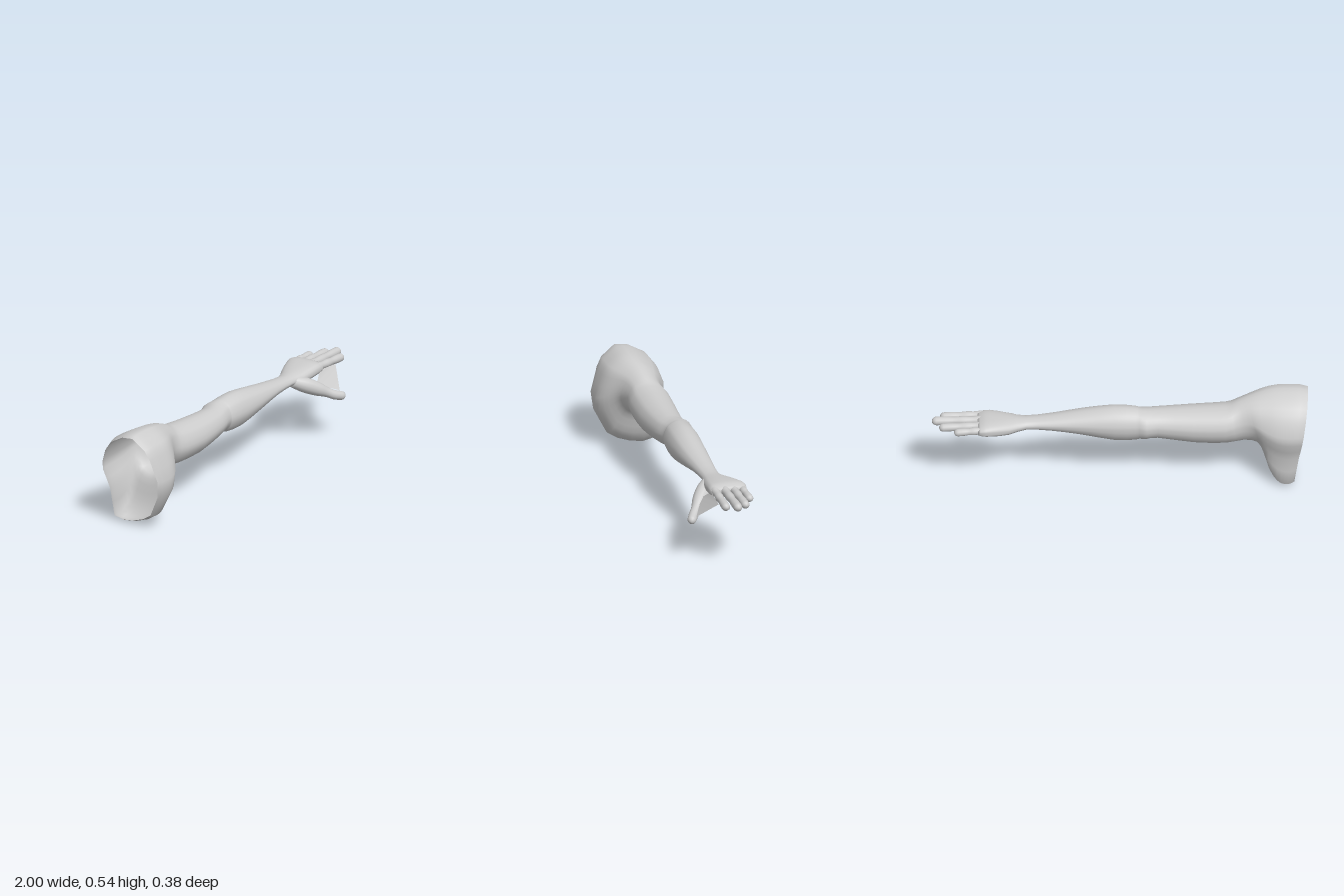
import * as THREE from 'three';

const skin = new THREE.MeshStandardMaterial({ color: 0xcccccc, side: THREE.DoubleSide });
skin.name = 'plain grey';

// Skin a list of equal-length rings; optionally close the ends with a centre point
function loft(name, rings, capStart, capEnd) {
  const n = rings[0].length, pos = [], idx = [];
  rings.forEach(r => r.forEach(p => pos.push(p.x, p.y, p.z)));
  for (let j = 0; j < rings.length - 1; j++) {
    for (let i = 0; i < n; i++) {
      const a = j * n + i, b = j * n + (i + 1) % n;
      idx.push(a, b, a + n, b, b + n, a + n);
    }
  }
  const cap = (j, flip) => {
    const c = new THREE.Vector3();
    rings[j].forEach(p => c.addScaledVector(p, 1 / n));
    const k = pos.length / 3;
    pos.push(c.x, c.y, c.z);
    for (let i = 0; i < n; i++) {
      const a = j * n + i, b = j * n + (i + 1) % n;
      if (flip) idx.push(b, a, k); else idx.push(a, b, k);
    }
  };
  if (capStart) cap(0, true);
  if (capEnd) cap(rings.length - 1, false);
  const g = new THREE.BufferGeometry();
  g.setAttribute('position', new THREE.Float32BufferAttribute(pos, 3));
  g.setIndex(idx);
  g.computeVertexNormals();
  const mesh = new THREE.Mesh(g, skin);
  mesh.name = name;
  return mesh;
}

// Outline of the open shoulder edge as [z, y], from the top round the front
const rim = [[0.04, 0.535], [0.12, 0.475], [0.15, 0.42], [0.19, 0.29], [0.18, 0.2], [0.115, 0.07],
  [0.06, 0.035], [-0.01, 0.01], [-0.08, 0], [-0.142, 0.013], [-0.153, 0.18], [-0.19, 0.29],
  [-0.19, 0.34], [-0.16, 0.42], [-0.115, 0.48], [-0.03, 0.527]];

// Rim scaled to a unit outline, with extra points along each edge
const outline = rim.flatMap(([z, y], i) => {
  const [z2, y2] = rim[(i + 1) % rim.length];
  return [[z, y], [(z + z2) / 2, (y + y2) / 2]];
}).map(([z, y]) => [z / 0.19, y / 0.2675 - 1]);

// Slanted shoulder sections: top x, y, front z, then bottom x, y, back z
const shoulder = [
  [-1, 0.52, 0.175, -0.92, 0.012, -0.18],
  [-0.96, 0.532, 0.187, -0.9, 0.003, -0.19],
  [-0.9, 0.535, 0.19, -0.87, 0, -0.192],
  [-0.83, 0.533, 0.187, -0.83, 0.02, -0.185],
  [-0.77, 0.523, 0.162, -0.79, 0.08, -0.168],
  [-0.71, 0.507, 0.122, -0.765, 0.165, -0.148],
  [-0.66, 0.49, 0.092, -0.735, 0.225, -0.128],
  [-0.61, 0.47, 0.076, -0.66, 0.241, -0.122],
];

// Upright arm and palm sections: x, top y, front z, bottom y, back z
const limb = [
  [-0.56, 0.45, 0.084, 0.234, -0.142],
  [-0.39, 0.437, 0.084, 0.236, -0.131],
  [-0.2, 0.43, 0.064, 0.265, -0.113],
  [-0.14, 0.437, 0.05, 0.27, -0.13],
  [-0.1, 0.443, 0.042, 0.268, -0.122],
  [-0.08, 0.447, 0.048, 0.26, -0.12],
  [0.03, 0.454, 0.056, 0.258, -0.121],
  [0.2, 0.432, 0.048, 0.294, -0.106],
  [0.36, 0.408, 0.027, 0.323, -0.092],
  [0.5, 0.395, 0.016, 0.333, -0.084],
  [0.59, 0.405, 0.034, 0.325, -0.123],
  [0.69, 0.417, 0.044, 0.34, -0.157],
  [0.73, 0.414, 0.042, 0.345, -0.16],
  [0.757, 0.404, 0.036, 0.355, -0.154],
];

// Rings blend from the shoulder outline to ovals, and to flatter ovals at the palm
function armRings() {
  const rows = [...shoulder, ...limb.map(([x, top, front, bottom, back]) => [x, top, front, x, bottom, back])];
  const spline = k => new THREE.CatmullRomCurve3(
    rows.map(r => new THREE.Vector3(r[k], r[k + 1], r[k + 2])), false, 'catmullrom');
  const topFront = spline(0), bottomBack = spline(3);
  const spans = rows.length - 1, steps = spans * 2;
  return Array.from({ length: steps + 1 }, (_, j) => {
    const p = topFront.getPoint(j / steps), q = bottomBack.getPoint(j / steps);
    const oval = THREE.MathUtils.smoothstep(j / 2, 2.5, 7);
    const power = 1 - 0.3 * THREE.MathUtils.smoothstep(p.x, 0.5, 0.69);
    const soft = v => Math.sign(v) * Math.abs(v) ** power;
    return outline.map(([u, v]) => {
      const a = Math.atan2(u, v);
      const side = THREE.MathUtils.lerp(u, soft(Math.sin(a)), oval);
      const h = (THREE.MathUtils.lerp(v, soft(Math.cos(a)), oval) + 1) / 2;
      return new THREE.Vector3(q.x + (p.x - q.x) * h, q.y + (p.y - q.y) * h,
        (p.z + q.z) / 2 + side * (p.z - q.z) / 2);
    });
  });
}

// Rounded finger along a path; each point is [x, y, z, radius]
function digit(name, pts) {
  const curve = new THREE.CatmullRomCurve3(pts.map(p => new THREE.Vector3(p[0], p[1], p[2])), false, 'catmullrom');
  const radii = new THREE.CatmullRomCurve3(pts.map(p => new THREE.Vector3(p[3], 0, 0)), false, 'catmullrom');
  const rings = [], steps = 20;
  const ring = (c, t, r) => {
    const side = new THREE.Vector3().crossVectors(t, new THREE.Vector3(0, 1, 0)).normalize();
    const up = new THREE.Vector3().crossVectors(side, t);
    rings.push(Array.from({ length: 14 }, (_, i) => {
      const a = i / 14 * Math.PI * 2;
      return c.clone().addScaledVector(up, Math.cos(a) * r).addScaledVector(side, Math.sin(a) * r);
    }));
  };
  for (let i = 0; i <= steps; i++) {
    ring(curve.getPoint(i / steps), curve.getTangent(i / steps), radii.getPoint(i / steps).x);
  }
  // Domed tip
  const end = curve.getPoint(1), dir = curve.getTangent(1), r = pts[pts.length - 1][3];
  for (const a of [0.4, 0.8, 1.15, 1.45]) {
    ring(end.clone().addScaledVector(dir, Math.sin(a) * r), dir, Math.cos(a) * r);
  }
  return loft(name, rings, true, true);
}

export function createModel() {
  const model = new THREE.Group();
  model.name = 'arm';

  // Open shoulder, upper arm, forearm and palm
  model.add(loft('shoulderArmAndPalm', armRings(), false, true));

  // Four fingers: name, z at root, z at tip, tip x, y at tip, radius
  [['indexFinger', 0.014, 0.017, 0.955, 0.376, 0.023],
    ['middleFinger', -0.036, -0.036, 1, 0.385, 0.024],
    ['ringFinger', -0.085, -0.089, 0.963, 0.379, 0.023],
    ['littleFinger', -0.13, -0.136, 0.885, 0.378, 0.021]].forEach(([name, z0, z1, tip, y, r]) => {
    const x0 = 0.69, end = tip - r;
    const row = (t, s) => [x0 + (end - x0) * t, 0.386 + (y - 0.386) * t, z0 + (z1 - z0) * t, r * s];
    // Radius swells at each knuckle
    model.add(digit(name, [0.9, 1.05, 0.9, 1, 0.87, 0.98, 0.98].map((s, i) => row(i / 6, s))));
  });

  // Thumb
  model.add(digit('thumb', [[0.53, 0.358, -0.015, 0.03], [0.585, 0.332, 0.03, 0.042],
    [0.64, 0.302, 0.073, 0.038], [0.685, 0.276, 0.105, 0.027], [0.72, 0.256, 0.13, 0.026],
    [0.755, 0.245, 0.15, 0.024]]));

  // Thin web between thumb and index finger
  const web = new THREE.BufferGeometry();
  web.setAttribute('position', new THREE.Float32BufferAttribute([
    0.65, 0.32, 0.065, 0.77, 0.265, 0.13, 0.865, 0.365, 0.035, 0.72, 0.375, 0.035], 3));
  web.setIndex([0, 1, 2, 0, 2, 3]);
  web.computeVertexNormals();
  const webMesh = new THREE.Mesh(web, skin);
  webMesh.name = 'thumbWeb';
  model.add(webMesh);

  return model;
}
